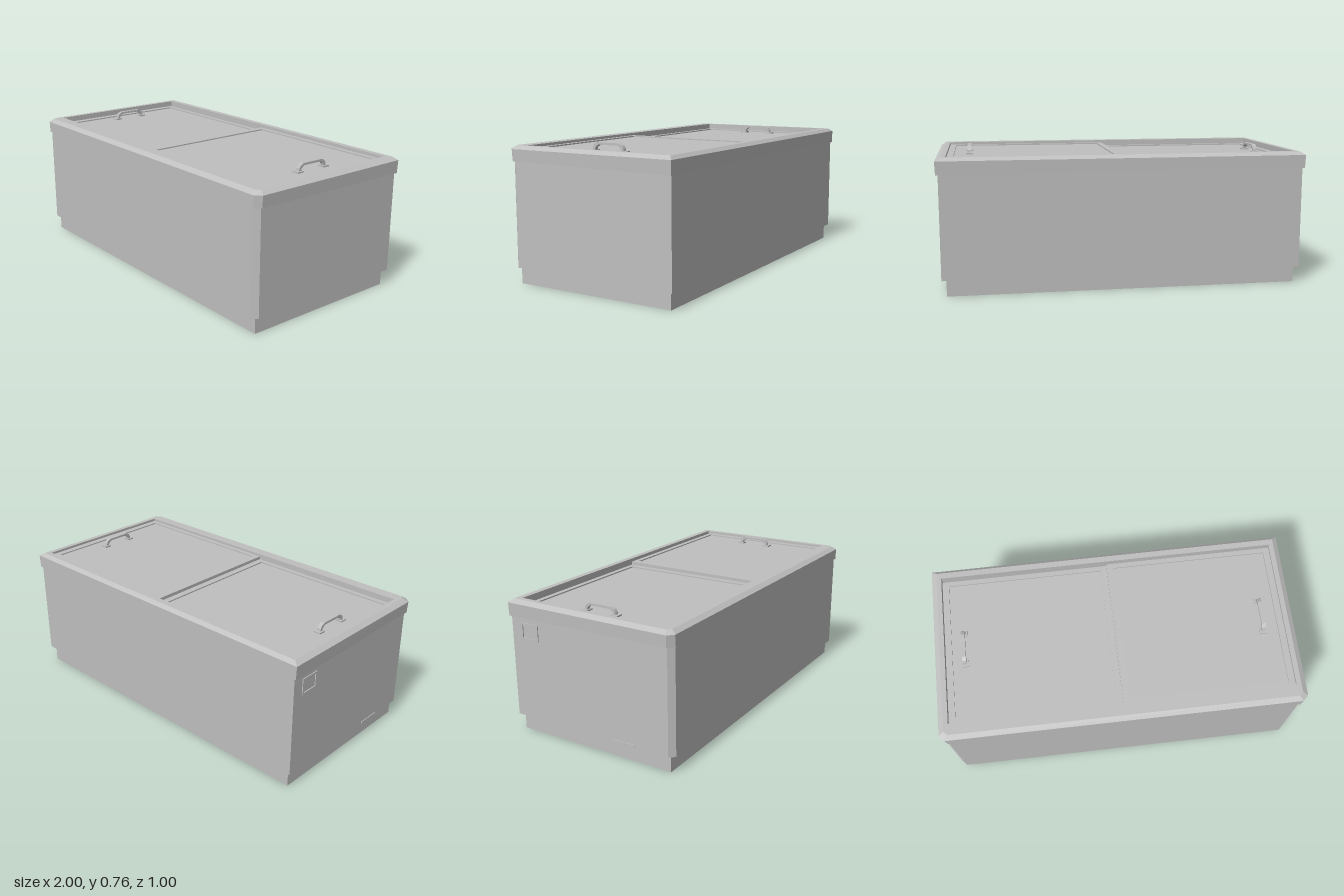
import * as THREE from 'three';

const grey = new THREE.MeshStandardMaterial({ color: 0xbfbfbf });
grey.name = 'painted grey';

// Plan outline with chamfered front corners; height may differ front to back.
function ring(x, back, front, c, yFront, yBack = yFront) {
  return [[x, back], [-x, back], [-x, front - c], [-x + c, front], [x - c, front], [x, front - c]]
    .map(([px, pz]) => [px, yBack + (yFront - yBack) * (pz - back) / (front - back), pz]);
}

// Skin through successive rings, closing the first downward and the last upward.
function loft(rings) {
  const pos = [];
  const tri = (a, b, c) => pos.push(...a, ...b, ...c);
  const n = rings[0].length;
  for (let r = 0; r < rings.length - 1; r++) {
    const lo = rings[r], hi = rings[r + 1];
    for (let i = 0; i < n; i++) {
      const j = (i + 1) % n;
      tri(lo[i], lo[j], hi[j]);
      tri(lo[i], hi[j], hi[i]);
    }
  }
  const first = rings[0], last = rings[rings.length - 1];
  for (let i = 1; i < n - 1; i++) {
    tri(first[0], first[i + 1], first[i]);
    tri(last[0], last[i], last[i + 1]);
  }
  const g = new THREE.BufferGeometry();
  g.setAttribute('position', new THREE.Float32BufferAttribute(pos, 3));
  g.computeVertexNormals();
  return g;
}

function add(parent, name, geometry, x = 0, y = 0, z = 0) {
  const m = new THREE.Mesh(geometry, grey);
  m.name = name;
  m.position.set(x, y, z);
  parent.add(m);
  return m;
}

const box = (w, h, d) => new THREE.BoxGeometry(w, h, d);

// Flat rectangular frame lying in the xz plane, its underside at y = 0.
function frame(w, d, holeW, holeD, h) {
  const rect = (T, a, b) => new T([[-a, -b], [a, -b], [a, b], [-a, b]].map(p => new THREE.Vector2(p[0] / 2, p[1] / 2)));
  const s = rect(THREE.Shape, w, d);
  s.holes.push(rect(THREE.Path, holeW, holeD));
  return new THREE.ExtrudeGeometry(s, { depth: h, bevelEnabled: false }).rotateX(-Math.PI / 2);
}

// Arched pull handle on two square pads, standing on y = 0.
function createHandle(name) {
  const g = new THREE.Group();
  g.name = name;
  const arch = new THREE.Shape([
    [-0.098, 0], [-0.094, 0.022], [-0.086, 0.036], [-0.066, 0.046],
    [0.066, 0.046], [0.086, 0.036], [0.094, 0.022], [0.098, 0],
    [0.082, 0], [0.078, 0.02], [0.06, 0.034], [-0.06, 0.034], [-0.078, 0.02], [-0.082, 0],
  ].map(p => new THREE.Vector2(...p)));
  const bar = new THREE.ExtrudeGeometry(arch, { depth: 0.022, bevelEnabled: false });
  bar.translate(0, 0, -0.011).rotateY(-Math.PI / 2);
  add(g, 'handleBar', bar);
  for (const s of [-1, 1]) add(g, 'handlePad', box(0.04, 0.008, 0.04), 0, 0.004, s * 0.092);
  return g;
}

// Sliding lid: raised border around a slightly sunken panel.
function createLid(name, side, top, handleX) {
  const g = new THREE.Group();
  g.name = name;
  const cx = side * 0.4725, cz = -0.0125;
  add(g, 'lidFrame', frame(0.945, 0.845, 0.873, 0.79, 0.02), cx, top - 0.02, cz);
  add(g, 'lidPanel', box(0.873, 0.012, 0.79), side * 0.4725, top - 0.013, cz);
  const handle = createHandle('lidHandle');
  handle.position.set(handleX, top - 0.007, -0.022);
  g.add(handle);
  return g;
}

export function createModel() {
  const model = new THREE.Group();
  model.name = 'chestFreezer';

  // Recessed plinth and cabinet
  add(model, 'plinth', box(1.92, 0.1, 0.938), 0, 0.05, -0.004);
  add(model, 'cabinet', loft([
    ring(0.985, -0.493, 0.493, 0.028, 0.09),
    ring(0.985, -0.493, 0.493, 0.028, 0.665),
  ]));

  // Overhanging rim with bevelled top edge and sunken opening
  add(model, 'rim', loft([
    ring(0.997, -0.499, 0.5, 0.032, 0.657, 0.648),
    ring(1, -0.5, 0.5, 0.03, 0.72),
    ring(0.972, -0.48, 0.473, 0.02, 0.738),
    ring(0.945, -0.447, 0.41, 0.0005, 0.738),
    ring(0.945, -0.447, 0.41, 0.0005, 0.67),
  ]));

  // Two sliding lids, one running above the other
  model.add(createLid('lowerLid', -1, 0.706, -0.84));
  model.add(createLid('upperLid', 1, 0.724, 0.825));

  // Framed switch plate and drain cover on one end
  const plate = frame(0.09, 0.11, 0.07, 0.09, 0.006).rotateZ(Math.PI / 2);
  add(model, 'switchFrame', plate, -0.984, 0.575, -0.375);
  add(model, 'drainCover', box(0.006, 0.014, 0.13), -0.986, 0.097, 0.2);
  return model;
}
